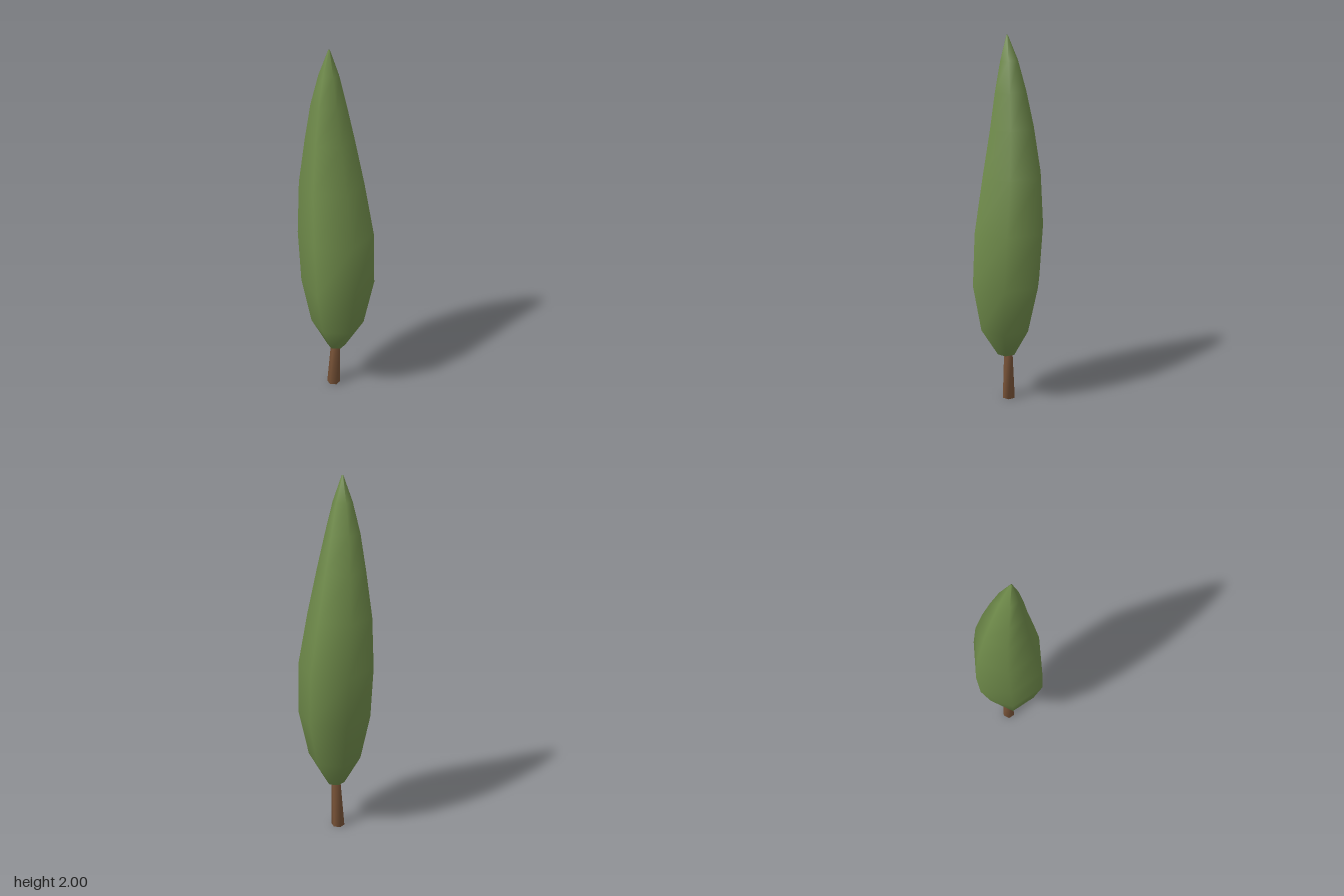
import * as THREE from 'three';

const SIDES = 6;

// Smooth six-sided loft through rings [y, centreX, centreZ, radius], closed at both ends
function loft(rings) {
  const positions = [];
  const index = [];
  for (const [y, cx, cz, r] of rings) {
    for (let i = 0; i < SIDES; i++) {
      const a = (i / SIDES) * Math.PI * 2;
      positions.push(cx + r * Math.cos(a), y, cz - r * Math.sin(a));
    }
  }
  const last = (rings.length - 1) * SIDES;
  for (let k = 0; k < last; k += SIDES) {
    for (let i = 0; i < SIDES; i++) {
      const a = k + i;
      const b = k + ((i + 1) % SIDES);
      index.push(a, b, b + SIDES, a, b + SIDES, a + SIDES);
    }
  }
  // Flat fans for the bottom and top
  for (let i = 1; i < SIDES - 1; i++) {
    index.push(0, i + 1, i);
    index.push(last, last + i, last + i + 1);
  }
  const geometry = new THREE.BufferGeometry();
  geometry.setAttribute('position', new THREE.Float32BufferAttribute(positions, 3));
  geometry.setIndex(index);
  geometry.computeVertexNormals();
  return geometry;
}

export function createModel() {
  const leafGreen = new THREE.MeshStandardMaterial({ color: 0x708c4b });
  leafGreen.name = 'leaf green';
  const barkBrown = new THREE.MeshStandardMaterial({ color: 0x7a5438 });
  barkBrown.name = 'bark brown';

  const tree = new THREE.Group();
  tree.name = 'cypressTree';

  // Slender crown, swelling low down and leaning gently to its tip
  const foliage = new THREE.Mesh(loft([
    [0.27, 0, 0.012, 0.052],
    [0.43, 0.006, 0.016, 0.146],
    [0.69, 0.007, 0.01, 0.2],
    [0.98, -0.005, -0.004, 0.204],
    [1.27, -0.027, -0.016, 0.172],
    [1.52, -0.036, -0.016, 0.128],
    [1.71, -0.041, -0.008, 0.091],
    [1.87, -0.039, 0, 0.051],
    [2.0, -0.036, 0.01, 0.004],
  ]), leafGreen);
  foliage.name = 'foliage';
  tree.add(foliage);

  // Tapered trunk running up into the crown
  const trunk = new THREE.Mesh(loft([
    [0, -0.017, 0, 0.037],
    [0.27, -0.005, 0.002, 0.026],
    [0.4, 0, 0.004, 0.02],
  ]), barkBrown);
  trunk.name = 'trunk';
  tree.add(trunk);

  return tree;
}
